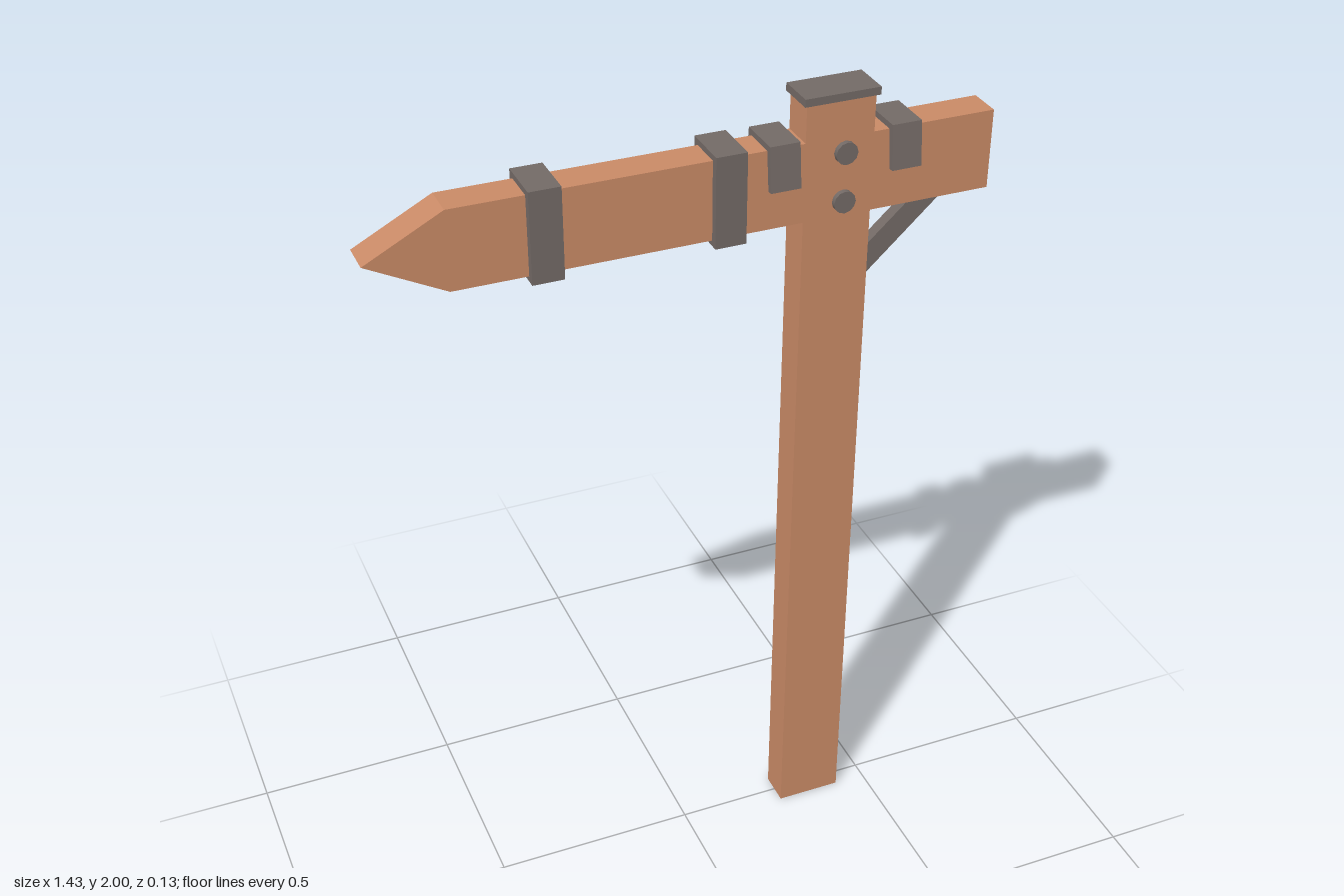
import * as THREE from 'three';

const wood = new THREE.MeshStandardMaterial({ color: 0xc98a66 });
wood.name = 'wood';
const iron = new THREE.MeshStandardMaterial({ color: 0x736a66 });
iron.name = 'iron';

export function createModel() {
  const group = new THREE.Group();
  group.name = 'signpost';

  const add = (name, geometry, material, x = 0, y = 0, z = 0) => {
    const mesh = new THREE.Mesh(geometry, material);
    mesh.name = name;
    mesh.position.set(x, y, z);
    group.add(mesh);
    return mesh;
  };

  // Flat outline extruded to a depth, centred on its own axis
  const slab = (points, depth) => {
    const shape = new THREE.Shape(points.map(([x, y]) => new THREE.Vector2(x, y)));
    return new THREE.ExtrudeGeometry(shape, { depth, bevelEnabled: false }).translate(0, 0, -depth / 2);
  };

  // Post and its cap
  add('post', new THREE.BoxGeometry(0.162, 1.985, 0.082), wood, 0.34, 0.9925, 0);
  add('postCap', new THREE.BoxGeometry(0.177, 0.018, 0.096), iron, 0.34, 1.991, 0);

  // Pointed sign board
  add('signBoard', slab([
    [-0.714, 1.803], [-0.535, 1.71], [0.712, 1.71], [0.712, 1.896], [-0.535, 1.896],
  ], 0.082), wood);

  // Iron bands wrapped around the board
  for (const x of [-0.329, 0.082]) {
    add('band', new THREE.BoxGeometry(0.072, 0.213, 0.118), iron, x, 1.8035, 0);
  }

  // Flared clips hooked over the top of the board
  const clipProfile = [
    [-0.055, 1.91], [-0.067, 1.808], [-0.052, 1.806], [-0.041, 1.895],
    [0.041, 1.895], [0.052, 1.806], [0.067, 1.808], [0.055, 1.91],
  ];
  for (const x of [0.205, 0.492]) {
    add('clip', slab(clipProfile, 0.07).rotateY(Math.PI / 2), iron, x);
  }

  // Bolts passing through post and board
  for (const y of [1.861, 1.746]) {
    add('bolt', new THREE.CylinderGeometry(0.026, 0.026, 0.106, 12).rotateX(Math.PI / 2), iron, 0.353, y, 0);
  }

  // Diagonal brace, its ends sunk into post and board
  add('brace', slab([
    [0.4, 1.491], [0.657, 1.728], [0.578, 1.728], [0.4, 1.565],
  ], 0.03), iron, 0, 0, -0.015);

  return group;
}
